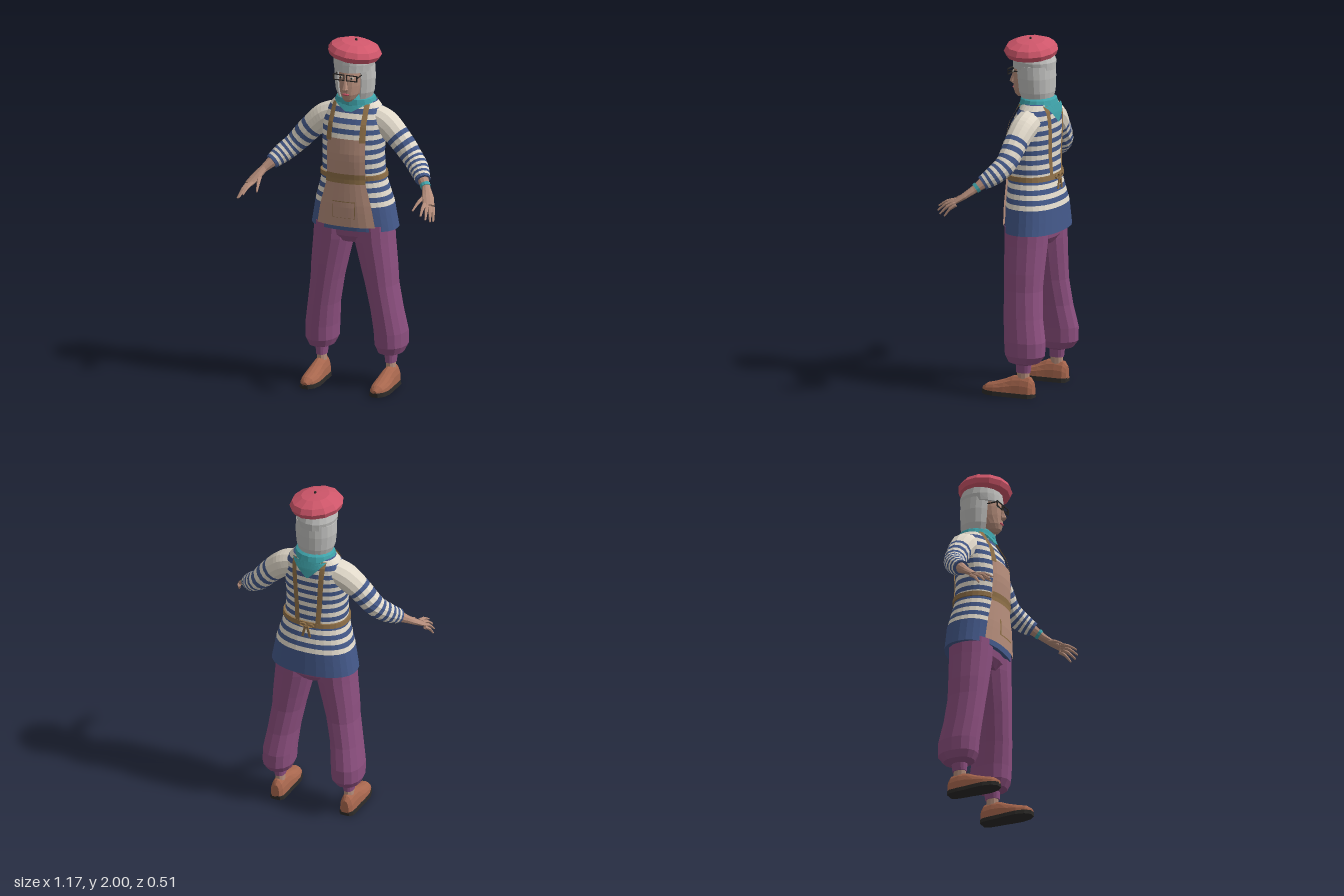
import * as THREE from 'three';

const colours = {
  beretRed: 0xd0576b, hairGrey: 0xbfbfbd, skinTan: 0xb58d7b, trouserPurple: 0x8c4f7f, stripeBlue: 0x44598a,
  stripeCream: 0xe2dacb, strapBrown: 0x8f7048, scarfTeal: 0x3fa3aa, shoeBrown: 0xa8674e, dark: 0x2c2a28,
};
const M = {};
for (const [name, color] of Object.entries(colours)) {
  M[name] = new THREE.MeshStandardMaterial({ color, side: THREE.DoubleSide });
  M[name].name = name;
}
const V = (x, y, z) => new THREE.Vector3(x, y, z);
const lerp = THREE.MathUtils.lerp;

// Interpolates a table of rows by its first column
function at(rows, k) {
  let i = 0;
  while (i < rows.length - 2 && k > rows[i + 1][0]) i++;
  const a = rows[i], b = rows[i + 1];
  const f = THREE.MathUtils.clamp((k - a[0]) / (b[0] - a[0]), 0, 1);
  return a.map((v, j) => lerp(v, b[j], f));
}

// Faceted mesh
function add(parent, name, geo, mat) {
  const g = geo.index ? geo.toNonIndexed() : geo;
  g.computeVertexNormals();
  const mesh = new THREE.Mesh(g, mat);
  mesh.name = name;
  parent.add(mesh);
  return mesh;
}

// Skins a list of rings; band(i) picks the material index of each strip
function loft(rings, band) {
  const tris = [], geo = new THREE.BufferGeometry(), n = rings[0].length;
  const cap = (r, turn) => {
    const c = r.reduce((s, p) => s.add(p), V(0, 0, 0)).divideScalar(n);
    r.forEach((p, j) => { const q = r[(j + 1) % n]; tris.push(turn ? [c, q, p] : [c, p, q]); });
  };
  cap(rings[0], true);
  for (let i = 0; i < rings.length - 1; i++) {
    for (let j = 0; j < n; j++) {
      const k = (j + 1) % n, a = rings[i][j], b = rings[i][k], c = rings[i + 1][k], d = rings[i + 1][j];
      tris.push([a, b, c], [a, c, d]);
    }
  }
  cap(rings[rings.length - 1], false);
  const o = rings[0][0];
  const volume = tris.reduce((s, [a, b, c]) => s + a.clone().sub(o).dot(b.clone().sub(o).cross(c.clone().sub(o))), 0);
  if (volume < 0) tris.forEach(t => t.reverse());
  geo.setFromPoints(tris.flat());
  if (band) {
    geo.addGroup(0, n * 3, band(0));
    for (let i = 0; i < rings.length - 1; i++) geo.addGroup(n * 3 + i * n * 6, n * 6, band(i));
    geo.addGroup(n * 3 + (rings.length - 1) * n * 6, n * 3, band(rings.length - 2));
  }
  return geo;
}

// Level ring, rounder or boxier by its power
function ring(y, cx, cz, rx, rz, seg = 16, pow = 2) {
  return Array.from({ length: seg }, (_, i) => {
    const a = i / seg * Math.PI * 2, c = Math.cos(a), s = Math.sin(a);
    return V(cx + rx * Math.sign(c) * Math.abs(c) ** (2 / pow), y, cz + rz * Math.sign(s) * Math.abs(s) ** (2 / pow));
  });
}

// Limb along a smooth path; each radius is [across, thick]
function sweep(points, radii, steps, seg, band) {
  const curve = new THREE.CatmullRomCurve3(points.map(p => V(...p)));
  const table = radii.map((r, i) => [i / (radii.length - 1), ...r]);
  const rings = [];
  for (let i = 0; i <= steps; i++) {
    const t = i / steps, c = curve.getPoint(t), dir = curve.getTangent(t), [, w, h] = at(table, t);
    const side = dir.clone().cross(V(0, 1, 0)).normalize(), up = side.clone().cross(dir);
    rings.push(Array.from({ length: seg }, (_, j) => {
      const a = j / seg * Math.PI * 2;
      return c.clone().addScaledVector(side, w * Math.cos(a)).addScaledVector(up, h * Math.sin(a));
    }));
  }
  return loft(rings, band);
}

// Torso: height, centre z, half width, half depth
const POW = 2.3;
const torso = [
  [0.92, -0.095, 0.25, 0.155], [1.06, -0.09, 0.225, 0.152], [1.22, -0.075, 0.18, 0.13], [1.35, -0.067, 0.175, 0.133],
  [1.45, -0.074, 0.18, 0.13], [1.53, -0.085, 0.18, 0.12], [1.59, -0.1, 0.165, 0.1], [1.64, -0.105, 0.12, 0.085], [1.67, -0.1, 0.07, 0.065],
];
function surface(x, y, side) {
  const [, cz, rx, rz] = at(torso, y);
  return cz + side * rz * Math.max(0, 1 - Math.min(1, Math.abs(x) / rx) ** POW) ** (1 / POW);
}

// Cloth laid over the torso; rows are height, left x, right x
function patch(parent, name, mat, rows, side, off) {
  const geo = new THREE.PlaneGeometry(1, 1, 8, 12), p = geo.attributes.position;
  const y0 = rows[0][0], y1 = rows[rows.length - 1][0];
  for (let i = 0; i < p.count; i++) {
    const y = lerp(y0, y1, p.getY(i) + 0.5), [, a, b] = at(rows, y), x = lerp(a, b, p.getX(i) * side + 0.5);
    p.setXYZ(i, x, y, surface(x, y, side) + side * off);
  }
  return add(parent, name, geo, mat);
}

function buildClothes(g) {
  // Striped smock with a plain hem
  const ys = [0.92, 0.99];
  for (let y = 1.06; y < 1.655; y += 0.0275) ys.push(y);
  ys.push(1.67);
  add(g, 'stripedSmock', loft(ys.map(y => { const [, cz, rx, rz] = at(torso, y); return ring(y, 0, cz, rx, rz, 28, POW); }),
    i => (i < 2 || i % 2 ? 0 : 1)), [M.stripeBlue, M.stripeCream]);

  // Apron, pocket and waistband
  patch(g, 'apron', M.skinTan, [[0.945, -0.175, 0.17], [1.06, -0.155, 0.15], [1.2, -0.115, 0.115], [1.45, -0.11, 0.115]], 1, 0.012);
  patch(g, 'pocketEdge', M.strapBrown, [[0.997, -0.07, 0.067], [1.093, -0.07, 0.067]], 1, 0.02);
  patch(g, 'pocket', M.skinTan, [[1.0, -0.067, 0.064], [1.09, -0.067, 0.064]], 1, 0.025);
  patch(g, 'waistband', M.strapBrown, [[1.195, -0.118, 0.118], [1.25, -0.115, 0.115]], 1, 0.018);
  add(g, 'belt', loft([1.213, 1.24].map(y => { const [, cz, rx, rz] = at(torso, y); return ring(y, 0, cz, rx + 0.01, rz + 0.01, 28, POW); })), M.strapBrown);

  // Shoulder straps and back bow
  for (const s of [1, -1]) {
    patch(g, 'frontStrap', M.strapBrown, [[1.435, s * 0.1 - 0.017, s * 0.1 + 0.017], [1.635, s * 0.095 - 0.013, s * 0.095 + 0.013]], 1, 0.014);
    patch(g, 'backStrap', M.strapBrown, [[1.225, s * 0.06 - 0.014, s * 0.06 + 0.014], [1.635, s * 0.085 - 0.014, s * 0.085 + 0.014]], -1, 0.009);
    const loop = add(g, 'bowLoop', new THREE.TorusGeometry(0.02, 0.006, 4, 8), M.strapBrown);
    loop.scale.y = 0.6;
    loop.position.set(s * 0.022, 1.228, -0.222);
    const tail = add(g, 'bowTail', new THREE.BoxGeometry(0.013, 0.07, 0.006), M.strapBrown);
    tail.position.set(s * 0.014, 1.19, -0.228);
    tail.rotation.z = s * 0.25;
  }

  // Neck scarf with a hanging corner
  add(g, 'scarf', loft([ring(1.61, 0, -0.1, 0.112, 0.094), ring(1.63, 0, -0.1, 0.122, 0.104), ring(1.66, 0, -0.098, 0.11, 0.098),
    ring(1.685, 0, -0.09, 0.07, 0.07)]), M.scarfTeal);
  patch(g, 'scarfCorner', M.scarfTeal, [[1.535, -0.005, 0.005], [1.58, -0.05, 0.05], [1.635, -0.1, 0.1]], -1, 0.016);
  patch(g, 'scarfFront', M.scarfTeal, [[1.595, -0.02, 0.02], [1.635, -0.09, 0.09]], 1, 0.016);
}

function buildArm(g, s) {
  const m = pts => pts.map(([x, y, z]) => [x * s, y, z]);
  add(g, 'sleeve', sweep(m([[0.1, 1.555, -0.1], [0.18, 1.52, -0.095], [0.26, 1.45, -0.085], [0.35, 1.35, -0.068], [0.41, 1.295, -0.025], [0.452, 1.255, 0.025]]),
    [[0.075, 0.07], [0.075, 0.075], [0.066, 0.068], [0.06, 0.06], [0.055, 0.055], [0.042, 0.042]], 24, 12,
    i => (i < 8 || i % 2 === 0 ? 1 : 0)), [M.stripeBlue, M.stripeCream]);
  add(g, 'forearmAndPalm', sweep(m([[0.445, 1.262, 0.015], [0.485, 1.222, 0.06], [0.512, 1.187, 0.105], [0.537, 1.153, 0.152]]),
    [[0.033, 0.033], [0.024, 0.022], [0.034, 0.017], [0.032, 0.012]], 9, 10), M.skinTan);
  // Fingers: knuckle to tip, thumb last
  const fingers = [
    [[0.515, 1.162, 0.158], [0.53, 1.12, 0.255]], [[0.53, 1.156, 0.16], [0.556, 1.1, 0.248]],
    [[0.545, 1.148, 0.152], [0.575, 1.086, 0.226]], [[0.557, 1.142, 0.136], [0.582, 1.078, 0.195]],
    [[0.493, 1.188, 0.095], [0.465, 1.132, 0.213]],
  ];
  for (const [a, b] of fingers) {
    const mid = a.map((v, i) => (v + b[i]) / 2 + (i === 1 ? 0.01 : 0));
    add(g, 'finger', sweep(m([a, mid, b]), [[0.012, 0.011], [0.01, 0.009], [0.005, 0.005]], 4, 6), M.skinTan);
  }
  if (s > 0) add(g, 'bracelet', sweep([[0.47, 1.237, 0.043], [0.48, 1.227, 0.055]], [[0.031, 0.03], [0.029, 0.028]], 1, 10), M.scarfTeal);
}

function buildLeg(g, s) {
  // Baggy leg gathered at the ankle: y, centre x, centre z, half width, half depth
  const rows = [
    [0.95, 0.115, -0.08, 0.112, 0.125], [0.85, 0.122, -0.08, 0.112, 0.122], [0.7, 0.147, -0.081, 0.1, 0.115], [0.6, 0.162, -0.083, 0.09, 0.111],
    [0.45, 0.187, -0.095, 0.086, 0.113], [0.32, 0.204, -0.113, 0.09, 0.12], [0.24, 0.206, -0.115, 0.088, 0.116],
    [0.2, 0.206, -0.11, 0.07, 0.09], [0.185, 0.206, -0.107, 0.034, 0.045], [0.14, 0.206, -0.105, 0.03, 0.042],
  ];
  add(g, 'trouserLeg', loft(rows.map(([y, x, z, rx, rz]) => ring(y, x * s, z, rx, rz, 14, 2.2))), M.trouserPurple);
  add(g, 'ankle', loft([ring(0.06, s * 0.206, -0.105, 0.027, 0.036, 10), ring(0.16, s * 0.206, -0.105, 0.026, 0.036, 10)]), M.skinTan);
  // Shoe sections: z, half width, height
  const shoe = [[-0.17, 0.022, 0.075], [-0.15, 0.038, 0.1], [-0.1, 0.043, 0.108], [-0.05, 0.045, 0.1], [0, 0.05, 0.077],
    [0.06, 0.052, 0.056], [0.11, 0.04, 0.043], [0.14, 0.014, 0.02]];
  const sections = (base, grow, height) => shoe.map(([z, w, h]) => Array.from({ length: 9 }, (_, i) => {
    const a = i / 8 * Math.PI;
    return V(s * 0.208 + (w + grow) * Math.cos(a), base + (height ? height * (i > 0 && i < 8 ? 1 : 0) : h * Math.sin(a) ** 0.8), z);
  }));
  add(g, 'shoe', loft(sections(0.018, 0, 0)), M.shoeBrown);
  add(g, 'sole', loft(sections(0, 0.004, 0.024)), M.dark);
}

function buildHead(g) {
  add(g, 'neck', loft([ring(1.62, 0, -0.08, 0.055, 0.055, 12), ring(1.74, 0, -0.07, 0.05, 0.055, 12)]), M.skinTan);
  const face = [[1.657, 0.015, 0.018, 0.018], [1.672, 0, 0.036, 0.046], [1.7, -0.02, 0.054, 0.075], [1.75, -0.05, 0.068, 0.106],
    [1.8, -0.055, 0.071, 0.109], [1.83, -0.057, 0.072, 0.102], [1.89, -0.06, 0.07, 0.09]];
  add(g, 'face', loft(face.map(([y, z, rx, rz]) => ring(y, 0, z, rx, rz, 18))), M.skinTan);
  add(g, 'nose', loft([ring(1.725, 0, 0.056, 0.012, 0.01, 6), ring(1.737, 0, 0.062, 0.017, 0.02, 6), ring(1.765, 0, 0.055, 0.01, 0.016, 6),
    ring(1.8, 0, 0.048, 0.007, 0.008, 6)]), M.skinTan);
  const lips = add(g, 'lips', new THREE.SphereGeometry(1, 8, 6), M.beretRed);
  lips.scale.set(0.022, 0.007, 0.008);
  lips.position.set(0, 1.704, 0.052);

  // Spectacles and eyes
  for (const s of [1, -1]) {
    const rim = new THREE.Shape([[-0.033, -0.018], [0.033, -0.018], [0.033, 0.018], [-0.033, 0.018]].map(p => new THREE.Vector2(...p)));
    rim.holes.push(new THREE.Path([[-0.028, -0.013], [-0.028, 0.013], [0.028, 0.013], [0.028, -0.013]].map(p => new THREE.Vector2(...p))));
    add(g, 'spectacleRim', new THREE.ExtrudeGeometry(rim, { depth: 0.005, bevelEnabled: false }), M.dark).position.set(s * 0.038, 1.803, 0.056);
    add(g, 'spectacleArm', new THREE.BoxGeometry(0.004, 0.006, 0.08), M.dark).position.set(s * 0.073, 1.81, 0.02);
    for (const [name, w, z, mat] of [['eyeWhite', 0.015, 0.044, M.stripeCream], ['pupil', 0.006, 0.049, M.dark]]) {
      const eye = add(g, name, new THREE.SphereGeometry(1, 8, 6), mat);
      eye.scale.set(w, 0.007, 0.004);
      eye.position.set(s * 0.032, 1.8, z);
    }
  }

  // Bob: a thick shell open at the face, then fringe and crown
  const shell = (y, cz, rx, rz, thick) => {
    const arc = k => Array.from({ length: 17 }, (_, i) => {
      const a = lerp(0.66, Math.PI * 2 - 0.66, i / 16);
      return V(Math.sin(a) * rx * k, y, cz + Math.cos(a) * rz * k);
    });
    return [...arc(1), ...arc(thick).reverse()];
  };
  add(g, 'bobHair', loft([shell(1.668, -0.085, 0.066, 0.062, 0.98), shell(1.655, -0.09, 0.094, 0.088, 0.68), shell(1.7, -0.088, 0.11, 0.1, 0.62),
    shell(1.78, -0.085, 0.117, 0.106, 0.6), shell(1.85, -0.08, 0.114, 0.108, 0.6)]), M.hairGrey);
  add(g, 'fringe', loft([ring(1.828, 0, -0.07, 0.108, 0.122, 18), ring(1.87, 0, -0.072, 0.115, 0.122, 18), ring(1.92, 0, -0.065, 0.105, 0.11, 18)]), M.hairGrey);

  // Tilted beret
  const beret = new THREE.Group();
  beret.name = 'beret';
  const profile = [[0, -0.03], [0.105, -0.036], [0.14, -0.022], [0.152, 0.006], [0.135, 0.036], [0.08, 0.06], [0, 0.067]];
  add(beret, 'beretCap', new THREE.LatheGeometry(profile.map(p => new THREE.Vector2(...p)), 13), M.beretRed);
  add(beret, 'beretStalk', new THREE.CylinderGeometry(0.006, 0.007, 0.014, 6), M.dark).position.y = 0.069;
  beret.position.set(0.01, 1.925, -0.055);
  beret.rotation.z = -0.13;
  g.add(beret);
}

export function createModel() {
  const model = new THREE.Group();
  model.name = 'artistFigure';
  const part = (name, build, ...args) => {
    const g = new THREE.Group();
    g.name = name;
    build(g, ...args);
    model.add(g);
  };
  part('head', buildHead);
  part('clothes', buildClothes);
  for (const [side, s] of [['left', 1], ['right', -1]]) {
    part(side + 'Arm', buildArm, s);
    part(side + 'Leg', buildLeg, s);
  }
  // Trouser seat under the smock
  add(model, 'trouserSeat', loft([ring(0.84, 0, -0.085, 0.1, 0.09), ring(0.88, 0, -0.085, 0.19, 0.12), ring(0.96, 0, -0.085, 0.22, 0.13)]), M.trouserPurple);
  return model;
}
